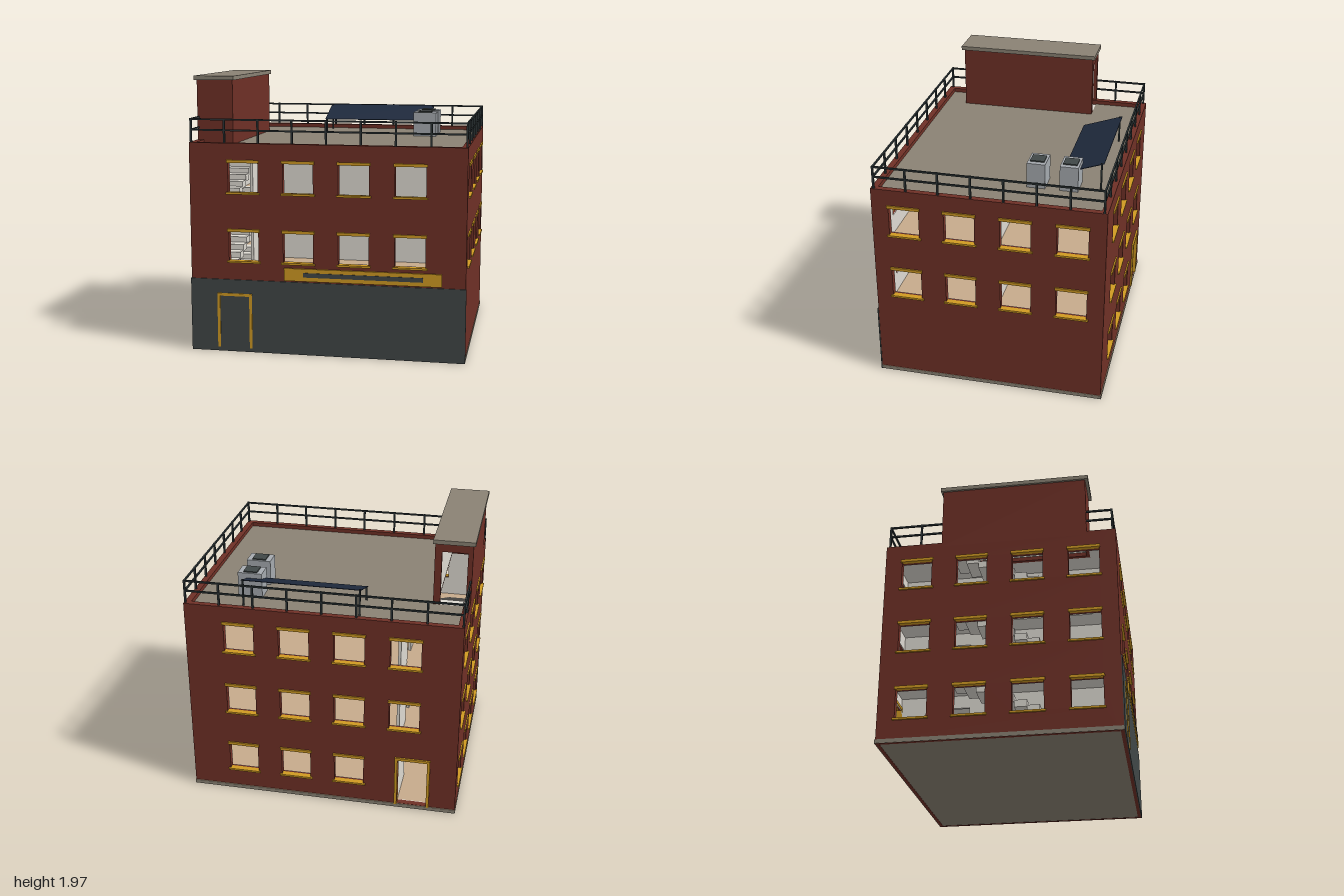
import * as THREE from 'three';

const paint = (name, color) => {
  const m = new THREE.MeshStandardMaterial({ color });
  m.name = name;
  return m;
};

export function createModel() {
  const brick = paint('brick', 0x6f3026);
  const charcoal = paint('charcoal panel', 0x404747);
  const ochre = paint('ochre trim', 0xd09a22);
  const concrete = paint('concrete', 0x8a8274);
  const plaster = paint('plaster', 0xdedad2);
  const wood = paint('floor tan', 0xc6ab8c);
  const iron = paint('rail iron', 0x2b3335);
  const solar = paint('solar blue', 0x1f2a3d);
  const metal = paint('unit grey', 0xa6abb0);

  const model = new THREE.Group();
  model.name = 'building';

  // box given by its limits on each axis
  const box = (parent, name, mat, x0, x1, y0, y1, z0, z1) => {
    const m = new THREE.Mesh(new THREE.BoxGeometry(x1 - x0, y1 - y0, z1 - z0), mat);
    m.position.set((x0 + x1) / 2, (y0 + y1) / 2, (z0 + z1) / 2);
    m.name = name;
    parent.add(m);
    return m;
  };

  const X = 0.985, Z = 0.825, T = 0.045, TOP = 1.51, BASE = 0.03, ROOF = 1.48;
  const STOREY = 0.494;
  const columns = [-0.595, -0.198, 0.198, 0.595];

  // flat panel with rectangular holes
  const panel = (parent, name, mat, hw, y0, y1, holes, z0, depth) => {
    const s = new THREE.Shape();
    s.moveTo(-hw, y0).lineTo(hw, y0).lineTo(hw, y1).lineTo(-hw, y1).closePath();
    for (const [a, b, c, d] of holes) {
      const h = new THREE.Path();
      h.moveTo(a, c).lineTo(a, d).lineTo(b, d).lineTo(b, c).closePath();
      s.holes.push(h);
    }
    const m = new THREE.Mesh(new THREE.ExtrudeGeometry(s, { depth, bevelEnabled: false }), mat);
    m.position.z = z0;
    m.name = name;
    parent.add(m);
  };

  // outside wall with its windows, trim and optional door; its outer face is local z = 0
  const wall = (name, hw, dist, turn, floors, doorX) => {
    const g = new THREE.Group();
    g.name = name;
    const holes = [];
    for (const f of floors) {
      for (const c of columns) {
        if (f === 0 && doorX !== undefined && Math.abs(c - doorX) < 0.2) continue;
        const y = 0.172 + f * STOREY;
        holes.push([c - 0.108, c + 0.108, y, y + 0.215]);
        box(g, 'windowLintel', ochre, c - 0.117, c + 0.117, y + 0.212, y + 0.233, -0.02, 0.01);
        box(g, 'windowSill', ochre, c - 0.122, c + 0.122, y - 0.012, y + 0.002, -0.03, 0.013);
      }
    }
    if (doorX !== undefined) {
      const a = doorX - 0.108, b = doorX + 0.108, d = 0.41;
      holes.push([a, b, BASE + 0.002, d]);
      box(g, 'doorJamb', ochre, a - 0.02, a, BASE, d, -0.055, 0.014);
      box(g, 'doorJamb', ochre, b, b + 0.02, BASE, d, -0.055, 0.014);
      box(g, 'doorHead', ochre, a - 0.02, b + 0.02, d, d + 0.02, -0.055, 0.014);
    }
    panel(g, 'brickWall', brick, hw, BASE, TOP, holes, -T, T);
    panel(g, 'wallLining', plaster, hw - 0.01, BASE, ROOF - 0.03, holes, -T - 0.005, 0.005);
    g.rotation.y = turn;
    g.position.set(Math.sin(turn) * dist, 0, Math.cos(turn) * dist);
    model.add(g);
  };
  wall('frontWall', X, Z, 0, [1, 2], -0.665);
  wall('backWall', X, Z, Math.PI, [0, 1, 2], 0.665);
  wall('rightWall', Z - T, X, Math.PI / 2, [1, 2]);
  wall('leftWall', Z - T, X, -Math.PI / 2, [0, 1, 2]);

  // base slab with a thin brick edge underneath
  box(model, 'baseSlab', [concrete, concrete, wood, concrete, concrete, concrete], -X - 0.003, X + 0.003, 0.002, BASE, -Z - 0.006, Z + 0.006);
  for (const s of [-1, 1]) {
    box(model, 'baseEdge', brick, -X, X, 0, 0.004, s * 0.813 - 0.012, s * 0.813 + 0.012);
    box(model, 'baseEdge', brick, s * 0.973 - 0.012, s * 0.973 + 0.012, 0, 0.004, -0.8, 0.8);
  }

  // shop front and sign
  box(model, 'shopFront', charcoal, -X - 0.004, X + 0.004, 0, 0.53, Z, Z + 0.008);
  box(model, 'signBoard', ochre, -0.3, 0.82, 0.54, 0.63, Z, Z + 0.014);
  box(model, 'signPanel', charcoal, -0.16, 0.69, 0.57, 0.602, Z + 0.01, Z + 0.018);

  // floors and roof, leaving the stairwell open
  const sx = -0.72, sz0 = -0.42, sz1 = 0.62;
  const deck = (name, top, y) => {
    const mats = [plaster, plaster, top, plaster, plaster, plaster];
    box(model, name, mats, sx, 0.94, y - 0.03, y, -0.78, 0.78);
    box(model, name, mats, -0.94, sx, y - 0.03, y, -0.78, sz0);
    box(model, name, mats, -0.94, sx, y - 0.03, y, sz1, 0.78);
  };
  deck('upperFloor', wood, BASE + STOREY);
  deck('upperFloor', wood, BASE + 2 * STOREY);
  deck('roofDeck', concrete, ROOF);

  // inner partitions and stairs on each storey
  for (let f = 0; f < 3; f++) {
    const y0 = BASE + f * STOREY, y1 = Math.min(y0 + STOREY - 0.03, ROOF - 0.03);
    box(model, 'crossPartition', plaster, -0.535, 0.935, y0, y1, -0.01, 0.01);
    box(model, 'hallPartition', plaster, -0.555, -0.535, y0, y1, -0.28, 0.775);
    box(model, 'hallPartition', plaster, -0.555, -0.535, y0, y1, -0.775, -0.46);
    box(model, 'hallDoorHead', plaster, -0.555, -0.535, y0 + 0.37, y1, -0.46, -0.28);
    const n = 12, run = (sz1 - sz0) / n, rise = (f === 2 ? ROOF - y0 : STOREY) / n;
    for (let i = 0; i < n; i++) {
      const y = y0 + (i + 1) * rise, z = sz1 - i * run;
      box(model, 'stairStep', plaster, -0.93, sx - 0.01, y - 0.05, y, z - run, z);
    }
  }

  // stair house on the roof, with an open doorway at the back
  const house = new THREE.Group();
  house.name = 'stairHouse';
  model.add(house);
  const hy = 1.945, w = 0.025;
  box(house, 'houseWall', brick, -X, -X + w, ROOF, hy, sz0, sz1);
  box(house, 'houseWall', brick, sx - w, sx, ROOF - 0.03, hy, sz0, sz1);
  box(house, 'houseWall', brick, -X, sx, ROOF - 0.03, hy, sz1 - w, sz1);
  box(house, 'houseDoorSide', brick, -X, -0.95, ROOF, hy, sz0, sz0 + w);
  box(house, 'houseDoorSide', brick, -0.77, sx, ROOF, hy, sz0, sz0 + w);
  box(house, 'houseDoorHead', brick, -X, sx, 1.88, hy, sz0, sz0 + w);
  box(house, 'houseLining', plaster, sx - w - 0.005, sx - w, ROOF, hy, sz0 + w, sz1 - w);
  box(house, 'houseLining', plaster, -X + w, -X + w + 0.005, TOP, hy, sz0 + w, sz1 - w);
  box(house, 'houseLining', plaster, -X + w, sx - w, ROOF, hy, sz1 - w - 0.005, sz1 - w);
  box(house, 'houseCap', concrete, -1, -0.707, 1.94, 1.97, -0.437, 0.642);

  // railing round the parapet, broken at the stair house
  const rail = new THREE.Group();
  rail.name = 'railing';
  model.add(rail);
  const rx = 0.976, rz = 0.802, r = 0.007, heights = [1.598, 1.673];
  const post = (x, z) => box(rail, 'railPost', iron, x - r, x + r, TOP - 0.01, 1.68, z - r, z + r);
  for (const s of [-1, 1]) {
    for (const y of heights) box(rail, 'railBar', iron, -rx, rx, y - 0.006, y + 0.006, s * rz - 0.006, s * rz + 0.006);
    for (let i = 0; i <= 8; i++) post(-rx + (i * rx) / 4, s * rz);
    const spans = s > 0 ? [[-rz, rz]] : [[-rz, sz0], [sz1, rz]];
    for (const [a, b] of spans) {
      for (const y of heights) box(rail, 'railBar', iron, s * rx - 0.006, s * rx + 0.006, y - 0.006, y + 0.006, a, b);
      for (let i = 1; i < 7; i++) {
        const z = -rz + (i * 2 * rz) / 7;
        if (z > a && z < b) post(s * rx, z);
      }
    }
  }

  // tilted solar panel on thin legs
  const dz = 0.29, dy = 0.1;
  const sheet = box(model, 'solarPanel', solar, -0.26, 0.59, 1.628, 1.632, -0.585 - Math.hypot(dz, dy) / 2, -0.585 + Math.hypot(dz, dy) / 2);
  sheet.rotation.x = Math.atan2(dy, dz);
  for (const x of [-0.25, 0.58]) {
    box(model, 'solarLeg', iron, x - 0.006, x + 0.006, ROOF, 1.68, -0.718, -0.706);
    box(model, 'solarLeg', iron, x - 0.006, x + 0.006, ROOF, 1.582, -0.456, -0.444);
  }

  // rooftop cooling units
  for (const z of [-0.5, -0.268]) {
    box(model, 'coolingUnit', metal, 0.484, 0.66, ROOF, 1.662, z - 0.065, z + 0.065);
    box(model, 'coolingVent', charcoal, 0.522, 0.622, 1.66, 1.67, z - 0.05, z + 0.05);
  }
  return model;
}
